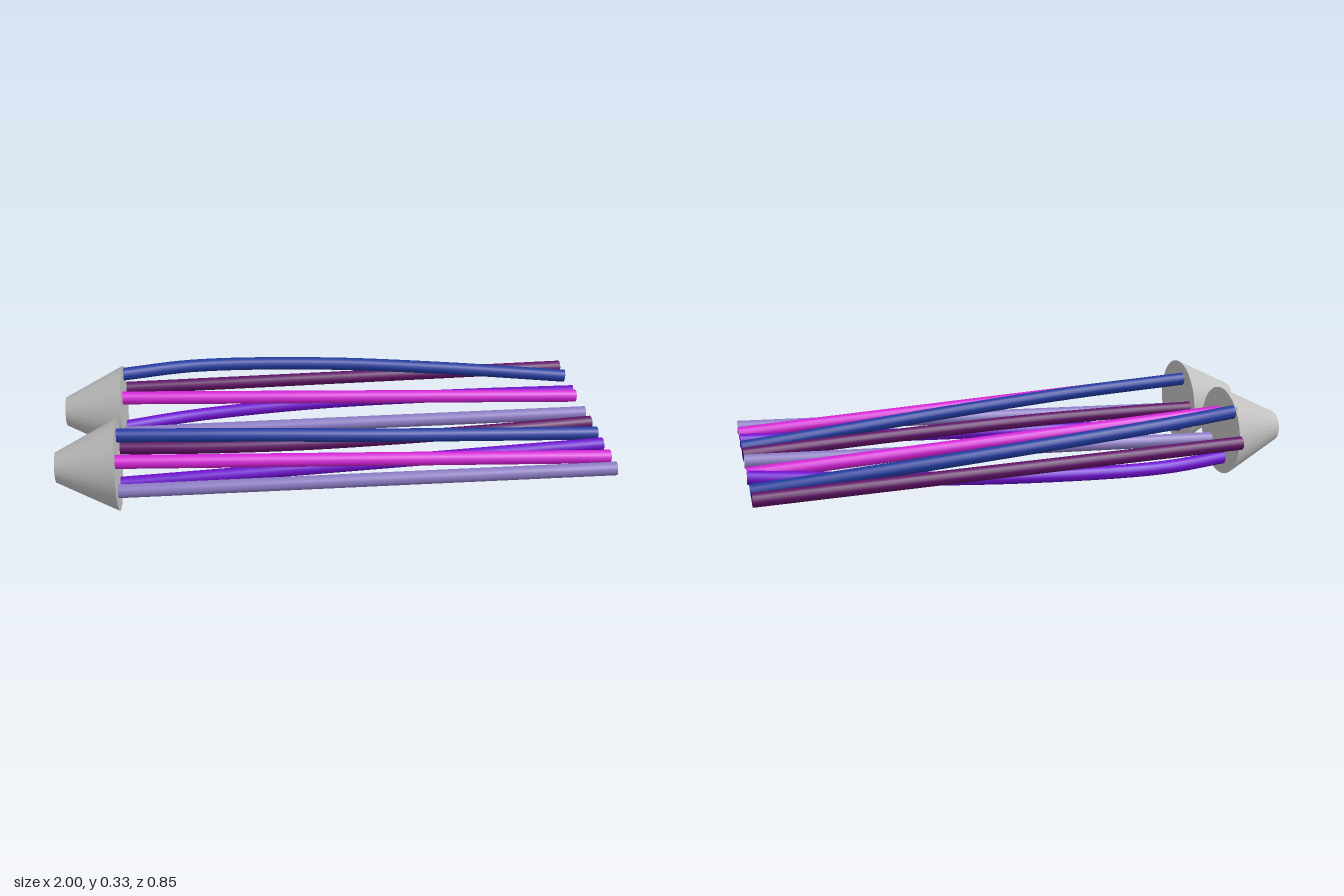
import * as THREE from 'three';
import { mergeGeometries } from 'three/addons/utils/BufferGeometryUtils.js';

const material = (name, color) => new THREE.MeshStandardMaterial({ name, color });
const RADIUS = 0.025;

// Round cable through [x, y, z] points, closed by a disc at each end
function cableGeometry(points) {
  const curve = new THREE.CatmullRomCurve3(points.map(p => new THREE.Vector3(...p)));
  const parts = [new THREE.TubeGeometry(curve, points.length > 2 ? 40 : 8, RADIUS, 16)];
  for (const t of [0, 1]) {
    const out = curve.getTangent(t).multiplyScalar(t ? 1 : -1);
    const cap = new THREE.CircleGeometry(RADIUS, 16);
    cap.applyQuaternion(new THREE.Quaternion().setFromUnitVectors(new THREE.Vector3(0, 0, 1), out));
    const at = curve.getPoint(t);
    cap.translate(at.x, at.y, at.z);
    parts.push(cap);
  }
  return mergeGeometries(parts);
}

export function createModel() {
  const mats = {
    grey: material('connectorGrey', 0xc0c0c0),
    blue: material('cableBlue', 0x213a9e),
    magenta: material('cableMagenta', 0xd422d6),
    purple: material('cablePurple', 0x6f0fd0),
    plum: material('cablePlum', 0x5e1064),
    lavender: material('cableLavender', 0x8c7cc4),
  };
  const S = -0.785, E = 1, Y = 0.155;

  const bundles = [
    {
      name: 'frontBundle', z: 0.225,
      cables: {
        blue: [[S, 0.27, 0.193], [-0.3, 0.247, 0.195], [0.2, 0.213, 0.186], [0.6, 0.184, 0.168], [E, Y, 0.147]],
        magenta: [[S, 0.232, 0.311], [E, Y, 0.316]],
        purple: [[S, 0.07, 0.2], [E, Y, 0.228]],
        plum: [[S, 0.17, 0.112], [-0.5, 0.168, 0.131], [-0.1, 0.165, 0.138], [0.5, 0.16, 0.108], [E, Y, 0.065]],
        lavender: [[S, 0.107, 0.308], [E, Y, 0.398]],
      },
    },
    {
      name: 'backBundle', z: -0.183,
      cables: {
        blue: [[S, 0.27, -0.278], [-0.5, 0.265, -0.335], [0, 0.237, -0.362], [0.5, 0.198, -0.35], [E, Y, -0.318]],
        magenta: [[S, 0.232, -0.155], [E, Y, -0.148]],
        purple: [[S, 0.07, -0.215], [-0.5, 0.074, -0.274], [0, 0.097, -0.289], [0.5, 0.124, -0.25], [E, Y, -0.183]],
        plum: [[S, 0.17, -0.35], [E, Y, -0.4]],
        lavender: [[S, 0.107, -0.1], [E, Y, -0.01]],
      },
    },
  ];

  const model = new THREE.Group();
  model.name = 'cableBundles';
  for (const { name, z, cables } of bundles) {
    const bundle = new THREE.Group();
    bundle.name = name;

    // Tapered connector, wide end facing the cables
    const cone = new THREE.CylinderGeometry(0.167, 0.055, 0.22, 32).rotateZ(-Math.PI / 2);
    const connector = new THREE.Mesh(cone, mats.grey);
    connector.name = 'connector';
    connector.position.set(-0.89, 0.168, z);
    bundle.add(connector);

    for (const [color, points] of Object.entries(cables)) {
      const cable = new THREE.Mesh(cableGeometry(points), mats[color]);
      cable.name = color + 'Cable';
      bundle.add(cable);
    }
    model.add(bundle);
  }
  return model;
}
